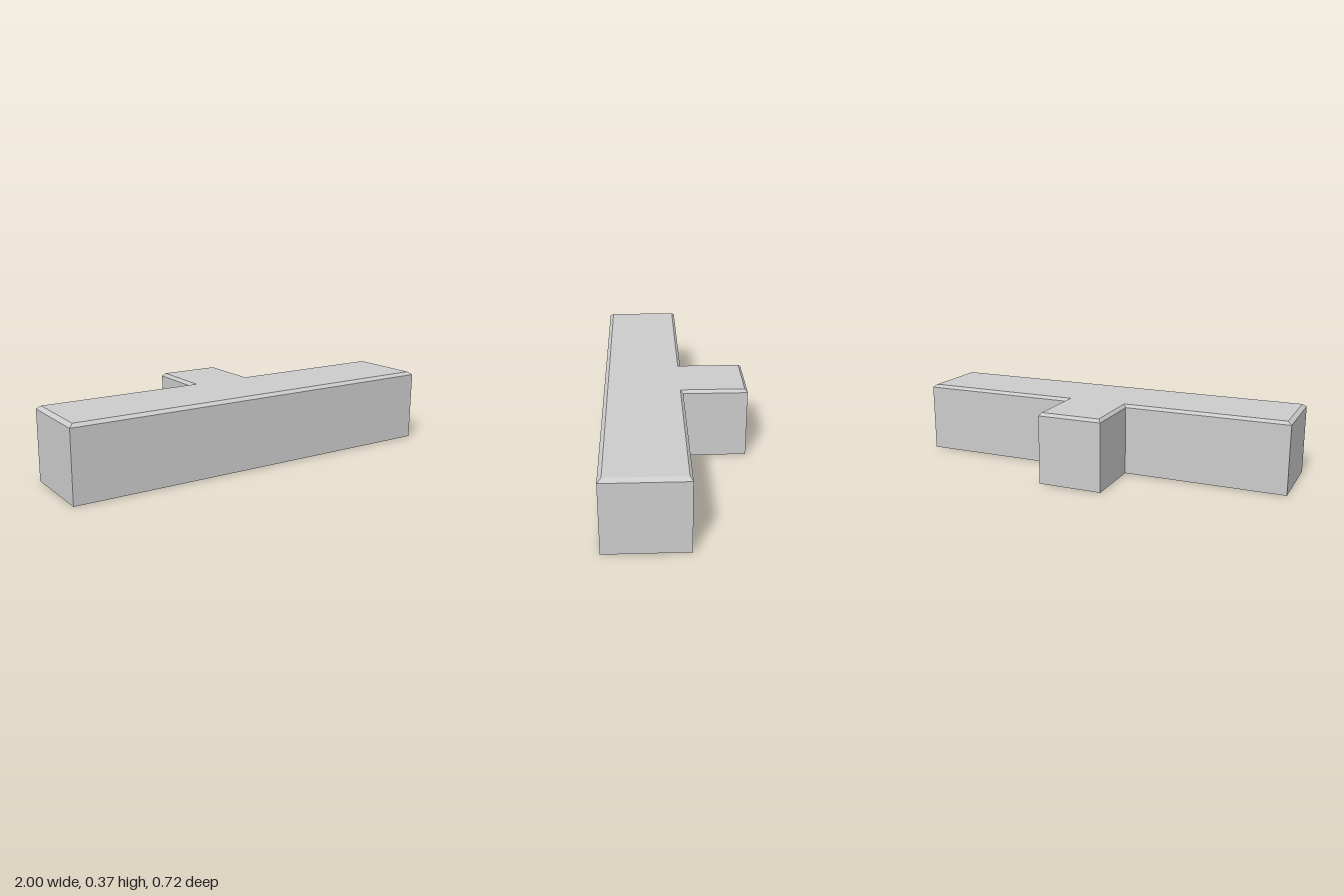
import * as THREE from 'three';

const HEIGHT = 0.365, SHOULDER = 0.35;

export function createModel() {
  const group = new THREE.Group();
  group.name = 'teeBlock';

  // T-shaped plan: long bar at the front, short stem at the back (plan y = -z)
  const half = [[1, -0.358], [1, 0.036], [0.165, 0.036], [0.165, 0.358]];
  const mirrored = half.map(([x, y]) => [-x, y]).reverse();
  const plan = new THREE.Shape([...half, ...mirrored].map(([x, y]) => new THREE.Vector2(x, y)));
  const geometry = new THREE.ExtrudeGeometry(plan, { depth: HEIGHT, steps: 2, bevelEnabled: false });

  // Raise the middle ring to the shoulder and draw in the top ring for the chamfer
  const p = geometry.attributes.position;
  for (let i = 0; i < p.count; i++) {
    const x = p.getX(i), y = p.getY(i), level = p.getZ(i) / HEIGHT;
    if (level > 0.9) {
      p.setX(i, x - Math.sign(x) * (Math.abs(x) > 0.9 ? 0.02 : 0.014));
      p.setY(i, y < 0 ? y + 0.019 : y - 0.014);
    } else if (level > 0.1) {
      p.setZ(i, SHOULDER);
    }
  }
  geometry.rotateX(-Math.PI / 2);
  geometry.computeVertexNormals();

  const block = new THREE.Mesh(
    geometry,
    new THREE.MeshStandardMaterial({ color: 0xcccccc, flatShading: true })
  );
  block.name = 'chamferedBlock';
  group.add(block);
  return group;
}
